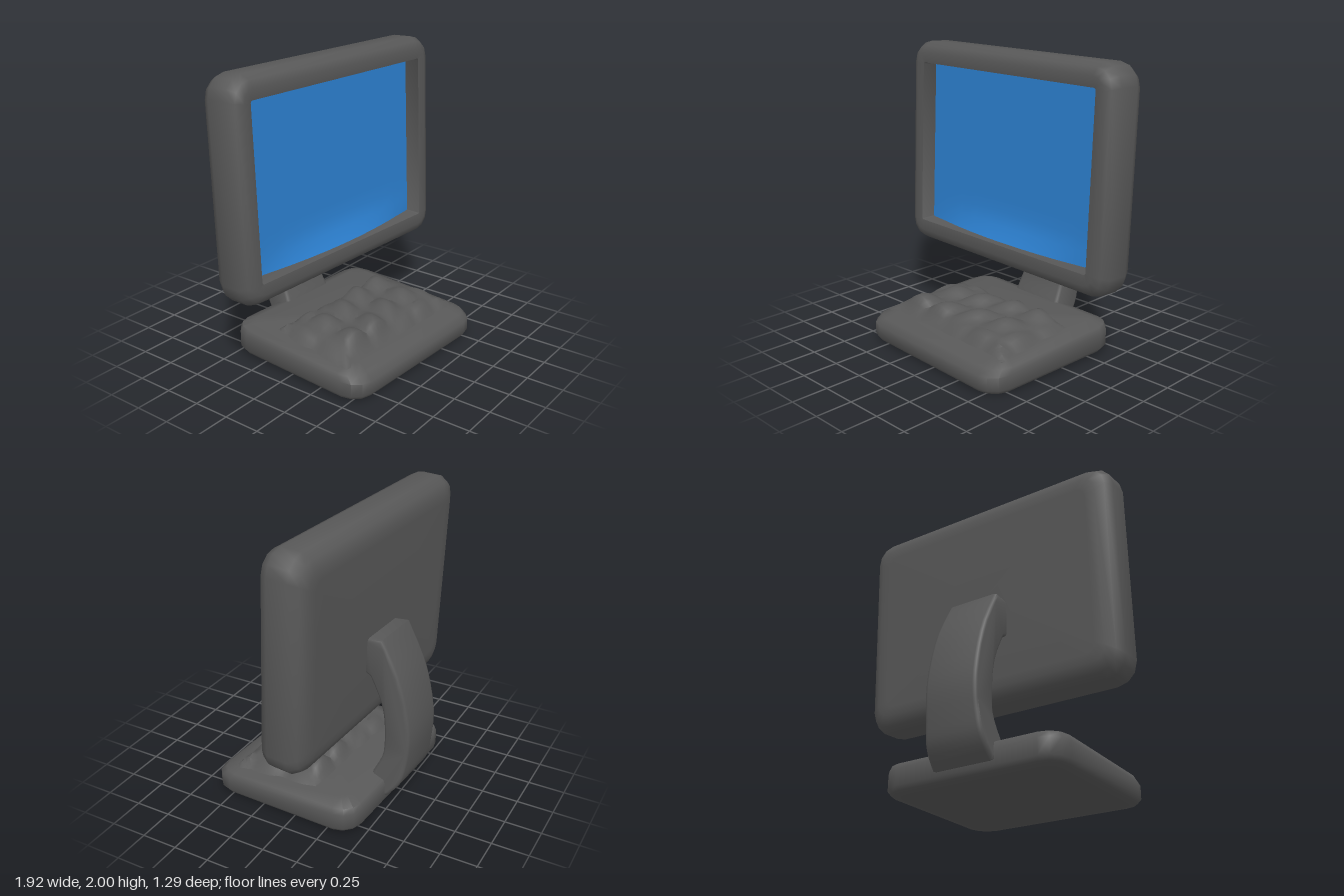
import * as THREE from 'three';
import { toCreasedNormals } from 'three/addons/utils/BufferGeometryUtils.js';

const CORNER_STEPS = 3;

// Rounded rectangle outline, counter-clockwise, at height z
function roundedRing(w, h, r, z) {
  const pts = [];
  const corners = [[1, 1], [-1, 1], [-1, -1], [1, -1]];
  corners.forEach(([sx, sy], q) => {
    for (let i = 0; i <= CORNER_STEPS; i++) {
      const a = (q + i / CORNER_STEPS) * Math.PI / 2;
      pts.push([sx * (w / 2 - r) + r * Math.cos(a), sy * (h / 2 - r) + r * Math.sin(a), z]);
    }
  });
  return pts;
}

// Skin a list of rings and cap both ends
function loft(rings) {
  const n = rings[0].length, pos = rings.flat(2), idx = [];
  for (let i = 0; i < rings.length - 1; i++) {
    for (let j = 0; j < n; j++) {
      const k = (j + 1) % n;
      const a = i * n + j, b = i * n + k, c = a + n, d = b + n;
      idx.push(a, b, d, a, d, c);
    }
  }
  const start = rings.length * n, last = start - n;
  pos.push(0, 0, rings[0][0][2], 0, 0, rings[rings.length - 1][0][2]);
  for (let j = 0; j < n; j++) {
    const k = (j + 1) % n;
    idx.push(start, k, j, start + 1, last + j, last + k);
  }
  const g = new THREE.BufferGeometry();
  g.setAttribute('position', new THREE.Float32BufferAttribute(pos, 3));
  g.setIndex(idx);
  return g;
}

function reshape(g, rule) {
  const p = g.attributes.position, v = new THREE.Vector3();
  for (let i = 0; i < p.count; i++) {
    rule(v.fromBufferAttribute(p, i));
    p.setXYZ(i, v.x, v.y, v.z);
  }
  return g;
}

export function createModel() {
  const plastic = new THREE.MeshStandardMaterial({ name: 'dark grey plastic', color: 0x585858 });
  const glass = new THREE.MeshStandardMaterial({ name: 'blue screen', color: 0x2c80d0 });

  const model = new THREE.Group();
  model.name = 'desktopComputer';
  const body = new THREE.Group();
  body.name = 'body';
  body.rotation.y = -0.055;
  model.add(body);
  const add = (parent, name, geometry, material) => {
    const m = new THREE.Mesh(geometry, material);
    m.name = name;
    parent.add(m);
  };

  // Monitor casing: [side inset, top inset, depth, corner radius] from back to recess floor
  const monitor = new THREE.Group();
  monitor.name = 'monitor';
  monitor.position.set(-0.013, 1.272, -0.173);
  monitor.rotation.x = -0.04;
  body.add(monitor);
  const casing = [
    [0.16, 0.16, -0.156, 0.06], [0.09, 0.1, -0.153, 0.09], [0.03, 0.035, -0.125, 0.12],
    [0, 0, -0.065, 0.14], [0, 0, 0.075, 0.14], [0.03, 0.03, 0.13, 0.12],
    [0.08, 0.08, 0.153, 0.08], [0.14, 0.15, 0.145, 0.015], [0.153, 0.163, 0.02, 0.008],
  ].map(([sx, sy, z, r]) => roundedRing(1.915 - 2 * sx, 1.452 - 2 * sy, r, z));
  add(monitor, 'casing', toCreasedNormals(loft(casing), 0.9), plastic);

  // Sunken screen sheet, curling forward along its lower edge
  const screen = new THREE.PlaneGeometry(1.62, 1.135, 10, 12);
  reshape(screen, (v) => {
    const low = Math.max(0, 1 - (v.y + 0.567) / 0.19);
    const middle = Math.max(0, 1 - (v.x / 0.75) ** 2);
    v.z = 0.042 + 0.065 * low * low * middle;
  });
  screen.computeVertexNormals();
  add(monitor, 'screen', screen, glass);

  // Base block, its front edge leaning back and its top falling gently to the front
  const slabs = [
    [0.08, 0, 0.1], [0.02, 0.012, 0.13], [0, 0.04, 0.14], [0, 0.15, 0.14],
    [0.015, 0.19, 0.13], [0.1, 0.222, 0.08],
  ].map(([s, y, r]) => roundedRing(1.31 - 2 * s, 1.11 - 2 * s, r, y));
  const base = loft(slabs).rotateX(-Math.PI / 2).translate(-0.01, 0, 0.062);
  reshape(base, (v) => {
    if (v.y > 0.1) v.y -= 0.04 * v.z;
    else v.y += 0.05 * Math.max(0, -v.z);
    if (v.y > 0.16 && v.z > 0.4) v.z -= 0.03;
  });
  add(body, 'base', toCreasedNormals(base, 0.9), plastic);

  // Uneven keypad: a raised sheet with soft key bumps, sinking into the base at its rim
  const keys = new THREE.PlaneGeometry(1.18, 0.68, 32, 18).rotateX(-Math.PI / 2);
  reshape(keys, (v) => {
    const rim = Math.min(1, (0.59 - Math.abs(v.x)) / 0.13, (0.34 - Math.abs(v.z)) / 0.11);
    const row = Math.abs(Math.sin(v.z * 12 + 0.8 * Math.sin(v.x * 5)));
    const key = Math.abs(Math.sin(v.x * 14 + 2 * v.z));
    v.y = 0.19 + rim * (0.08 + 0.06 * row * key);
  });
  keys.translate(-0.015, 0, 0.14);
  add(body, 'keypad', toCreasedNormals(keys, 0.9), plastic);

  // Curved stand: side profile extruded across its width, flaring towards the base
  const profile = new THREE.Shape();
  profile.moveTo(-0.3, 1.21);
  profile.lineTo(-0.425, 1.225);
  profile.splineThru([[-0.565, 0.94], [-0.64, 0.6], [-0.62, 0.32], [-0.58, 0.19], [-0.5, 0.09]]
    .map(([z, y]) => new THREE.Vector2(z, y)));
  profile.lineTo(-0.34, 0.12);
  profile.lineTo(-0.38, 0.23);
  profile.splineThru([[-0.45, 0.4], [-0.455, 0.62], [-0.425, 0.78], [-0.345, 0.95]]
    .map(([z, y]) => new THREE.Vector2(z, y)));
  profile.lineTo(-0.3, 0.97);
  const stand = new THREE.ExtrudeGeometry(profile, {
    depth: 0.33, curveSegments: 3, bevelThickness: 0.025, bevelSize: 0.02, bevelOffset: -0.02, bevelSegments: 2,
  });
  stand.translate(0, 0, -0.165).rotateY(-Math.PI / 2);
  reshape(stand, (v) => { v.x = v.x * (1 + 0.6 * Math.max(0, 0.4 - v.y)) - 0.01; });
  add(body, 'stand', toCreasedNormals(stand, 0.9), plastic);

  return model;
}
